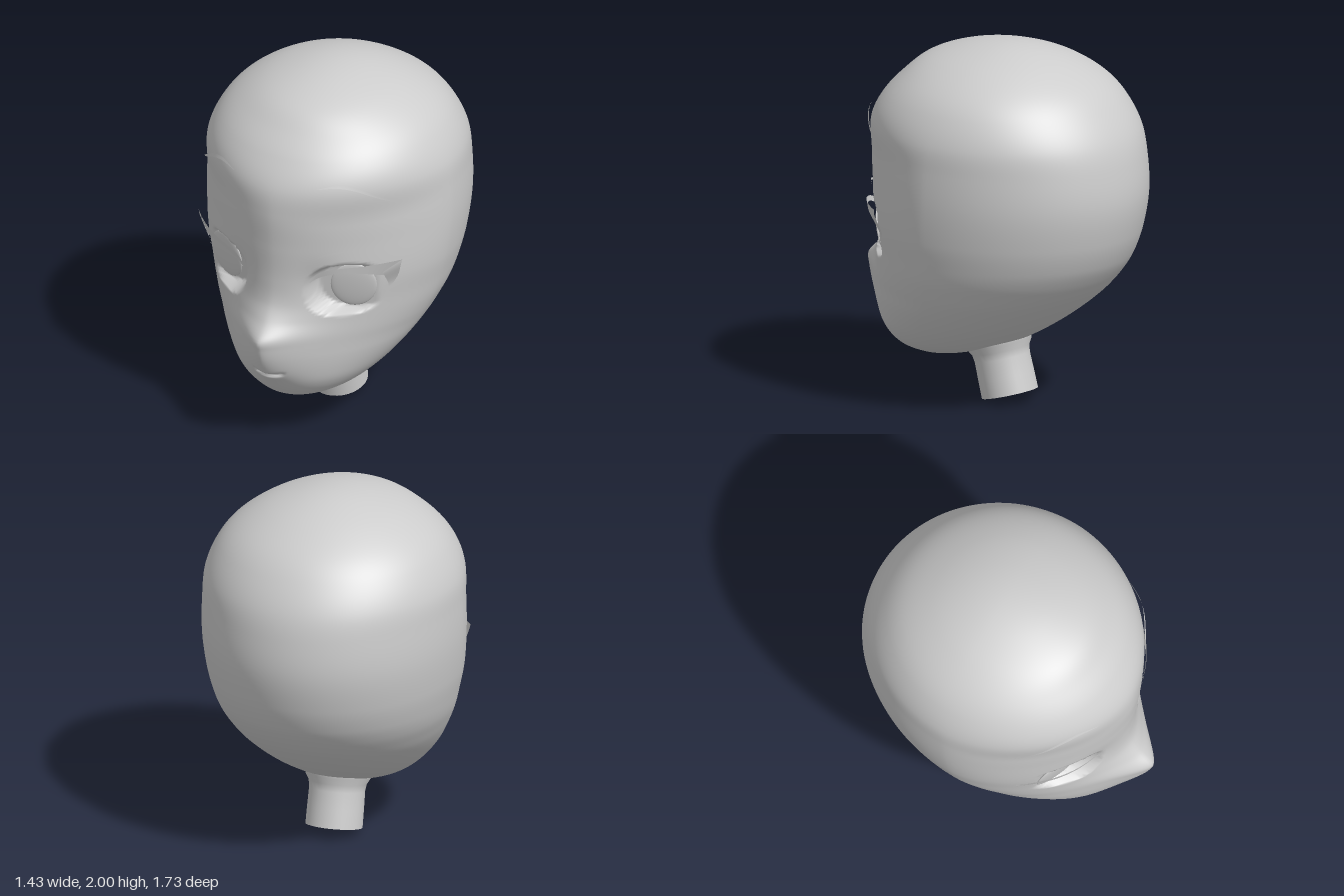
import * as THREE from 'three';

const { lerp, clamp, smoothstep } = THREE.MathUtils;

// Head profile from chin to crown: y, half width, front z, back z, z of the widest point, nose bulge
const PROFILE = [
  [0.21, 0, 0.38, 0.38, 0.38, 0],
  [0.25, 0.205, 0.575, 0.13, 0.33, 0],
  [0.30, 0.305, 0.635, -0.04, 0.28, 0],
  [0.38, 0.40, 0.685, -0.21, 0.22, 0.025],
  [0.46, 0.47, 0.70, -0.345, 0.17, 0.08],
  [0.55, 0.533, 0.71, -0.475, 0.12, 0.12],
  [0.63, 0.578, 0.71, -0.575, 0.07, 0.145],
  [0.69, 0.607, 0.705, -0.64, 0.05, 0.155],
  [0.77, 0.64, 0.70, -0.71, 0.02, 0.08],
  [0.86, 0.665, 0.70, -0.77, 0, 0.025],
  [1.0, 0.695, 0.705, -0.825, -0.01, 0.005],
  [1.2, 0.714, 0.72, -0.86, -0.03, 0],
  [1.4, 0.712, 0.73, -0.845, -0.04, 0],
  [1.55, 0.697, 0.71, -0.805, -0.05, 0],
  [1.7, 0.63, 0.62, -0.715, -0.06, 0],
  [1.8, 0.545, 0.525, -0.62, -0.06, 0],
  [1.9, 0.395, 0.40, -0.46, -0.06, 0],
  [1.97, 0.21, 0.2, -0.28, -0.06, 0],
  [2.0, 0, -0.06, -0.06, -0.06, 0],
];
const Y0 = 0.21, Y1 = 2;
const angleOf = (y) => Math.acos(clamp(1 - 2 * (y - Y0) / (Y1 - Y0), -1, 1));
const KEYS = PROFILE.map((p) => angleOf(p[0]));

// Smooth interpolation of the profile at height y
function section(y) {
  const t = angleOf(y), n = KEYS.length;
  let i = 0;
  while (i < n - 2 && t > KEYS[i + 1]) i++;
  const h = KEYS[i + 1] - KEYS[i], u = (t - KEYS[i]) / h;
  const slope = (k, c) => {
    const a = Math.max(k - 1, 0), b = Math.min(k + 1, n - 1);
    return (PROFILE[b][c] - PROFILE[a][c]) / (KEYS[b] - KEYS[a]);
  };
  const [w, front, back, mid, nose] = [1, 2, 3, 4, 5].map((c) =>
    PROFILE[i][c] * (1 + 2 * u) * (1 - u) ** 2 + slope(i, c) * h * u * (1 - u) ** 2 +
    PROFILE[i + 1][c] * u * u * (3 - 2 * u) + slope(i + 1, c) * h * u * u * (u - 1));
  // Face sections are flatter at the sides than an ellipse; chin and crown stay round
  const power = 2 - 0.26 * smoothstep(y, 0.25, 0.6) - 0.04 * smoothstep(y, 1.0, 1.25) + 0.3 * smoothstep(y, 1.35, 1.7);
  return { w: Math.max(w, 0), front, back, mid, nose, power };
}

// Nose, mouth and the soft hollow beside the bridge
function features(x, y, nose) {
  const ax = Math.abs(x);
  const bump = nose * Math.exp(-((ax / 0.175) ** 1.5));
  const hollow = -0.022 * Math.exp(-(((ax - 0.24) / 0.1) ** 2) - ((y - 0.98) / 0.13) ** 2);
  const lipY = 0.448 + 1.5 * x * x;
  const mouth = -0.025 * Math.exp(-(((y - lipY) / 0.011) ** 2)) * (1 - smoothstep(ax, 0.06, 0.105));
  return bump + hollow + mouth;
}

// Depth of the face, r being the distance from the middle as a share of the half width
function frontZ(s, r, y) {
  const curve = Math.max(0, 1 - Math.abs(r) ** s.power) ** (1 / s.power);
  return s.mid + (s.front - s.mid) * curve + features(r * s.w, y, s.nose);
}

function faceZ(x, y) {
  const s = section(y);
  return frontZ(s, clamp(x / s.w, -1, 1), y);
}

const eyePlane = (ax, y) => 0.475 - 0.43 * (ax - 0.385) + 0.15 * (y - 0.965);

// Flat eye recess cut into the face
function recess(x, y, z) {
  const ax = Math.abs(x);
  const d = Math.abs((ax - 0.37) / 0.175) ** 2.4 + Math.abs((y - 0.955) / 0.145) ** 2.4;
  const k = 1 - smoothstep(d, 0.85, 1.2);
  return lerp(z, Math.min(z, eyePlane(ax, y)), k);
}

function smoothGeometry(pos, index) {
  const g = new THREE.BufferGeometry();
  g.setAttribute('position', new THREE.Float32BufferAttribute(pos, 3));
  g.setIndex(index);
  g.computeVertexNormals();
  return g;
}

function headGeometry() {
  const rows = 200, cols = 180, pos = [], index = [];
  for (let i = 0; i <= rows; i++) {
    const y = Y0 + (Y1 - Y0) * (1 - Math.cos(Math.PI * i / rows)) / 2;
    const s = section(y);
    for (let j = 0; j < cols; j++) {
      const u = 2 * Math.PI * j / cols, a = u - 0.35 * Math.sin(u); // denser at the face
      const r = Math.sin(a), c = Math.cos(a), x = s.w * r;
      pos.push(x, y, c > 0 ? recess(x, y, frontZ(s, r, y)) : s.mid + (s.mid - s.back) * c);
      if (i < rows) {
        const p = i * cols + j, q = i * cols + (j + 1) % cols;
        index.push(p, q, q + cols, p, q + cols, p + cols);
      }
    }
  }
  return smoothGeometry(pos, index);
}

// Lashes follow the face at the lower lid and stand proud of it at the outer tip
function lashZ(x, y) {
  const skin = faceZ(x, y) + 0.01;
  const proud = 0.645 - 1.55 * (x - 0.2) ** 2;
  return Math.max(skin, lerp(skin, proud, smoothstep(y, 0.95, 1.12)));
}

const creaseZ = (x, y) => faceZ(x, y) + 0.012;
const browZ = (x, y) => faceZ(x, y) + 0.03;

// Thin strip between an upper and a lower curve, laid at the given depth
function ribbonGeometry(upper, lower, side, depth) {
  const curve = (pts) => new THREE.SplineCurve(pts.map((p) => new THREE.Vector2(...p)));
  const a = curve(upper), b = curve(lower), n = 20, pos = [], index = [];
  for (let i = 0; i <= n; i++) {
    for (const p of [a.getPoint(i / n), b.getPoint(i / n)]) pos.push(side * p.x, p.y, depth(p.x, p.y));
    if (i < n) {
      const k = 2 * i;
      if (side > 0) index.push(k, k + 1, k + 3, k, k + 3, k + 2);
      else index.push(k, k + 3, k + 1, k, k + 2, k + 3);
    }
  }
  return smoothGeometry(pos, index);
}

export function createModel() {
  const group = new THREE.Group();
  group.name = 'head';
  const grey = new THREE.MeshStandardMaterial({ name: 'grey', color: 0xcccccc, side: THREE.DoubleSide });
  const add = (name, geometry) => {
    const m = new THREE.Mesh(geometry, grey);
    m.name = name;
    group.add(m);
    return m;
  };

  add('skull', headGeometry());

  // Tilted open neck with a flare under the skull
  const neckShape = [[0.155, 0], [0.154, 0.1], [0.152, 0.2], [0.158, 0.24], [0.178, 0.275], [0.185, 0.31]];
  const neck = add('neck', new THREE.LatheGeometry(neckShape.map((p) => new THREE.Vector2(...p)), 32));
  neck.position.set(0, 0.04, -0.08);
  neck.rotation.x = 0.26;

  for (const [label, s] of [['left', 1], ['right', -1]]) {
    // Iris, a shallow dome on the eye recess
    const iris = add(label + 'Iris', new THREE.SphereGeometry(1, 32, 16));
    iris.scale.set(0.125, 0.138, 0.016);
    iris.position.set(s * 0.385, 0.965, eyePlane(0.385, 0.965) + 0.012);
    iris.rotation.set(0.15, s * 0.41, 0, 'YXZ');

    // Upper lash and its outer wing
    add(label + 'Lash', ribbonGeometry(
      [[0.2, 1.02], [0.26, 1.075], [0.36, 1.105], [0.48, 1.115], [0.62, 1.12]],
      [[0.2, 1.0], [0.26, 1.045], [0.36, 1.075], [0.46, 1.065], [0.545, 1.03]], s, lashZ));
    add(label + 'LashWing', ribbonGeometry(
      [[0.62, 1.12], [0.6, 1.05], [0.575, 0.99], [0.545, 0.935]],
      [[0.54, 1.06], [0.54, 1.02], [0.542, 0.97], [0.54, 0.93]], s, lashZ));

    // Eyelid crease
    add(label + 'LidCrease', ribbonGeometry(
      [[0.22, 1.14], [0.27, 1.182], [0.34, 1.198], [0.425, 1.2]],
      [[0.221, 1.139], [0.274, 1.172], [0.34, 1.188], [0.425, 1.198]], s, creaseZ));

    // Eyebrow
    add(label + 'Brow', ribbonGeometry(
      [[0.25, 1.59], [0.35, 1.608], [0.44, 1.583], [0.52, 1.525], [0.6, 1.445]],
      [[0.25, 1.588], [0.35, 1.593], [0.44, 1.565], [0.52, 1.51], [0.6, 1.442]], s, browZ));
  }
  return group;
}
